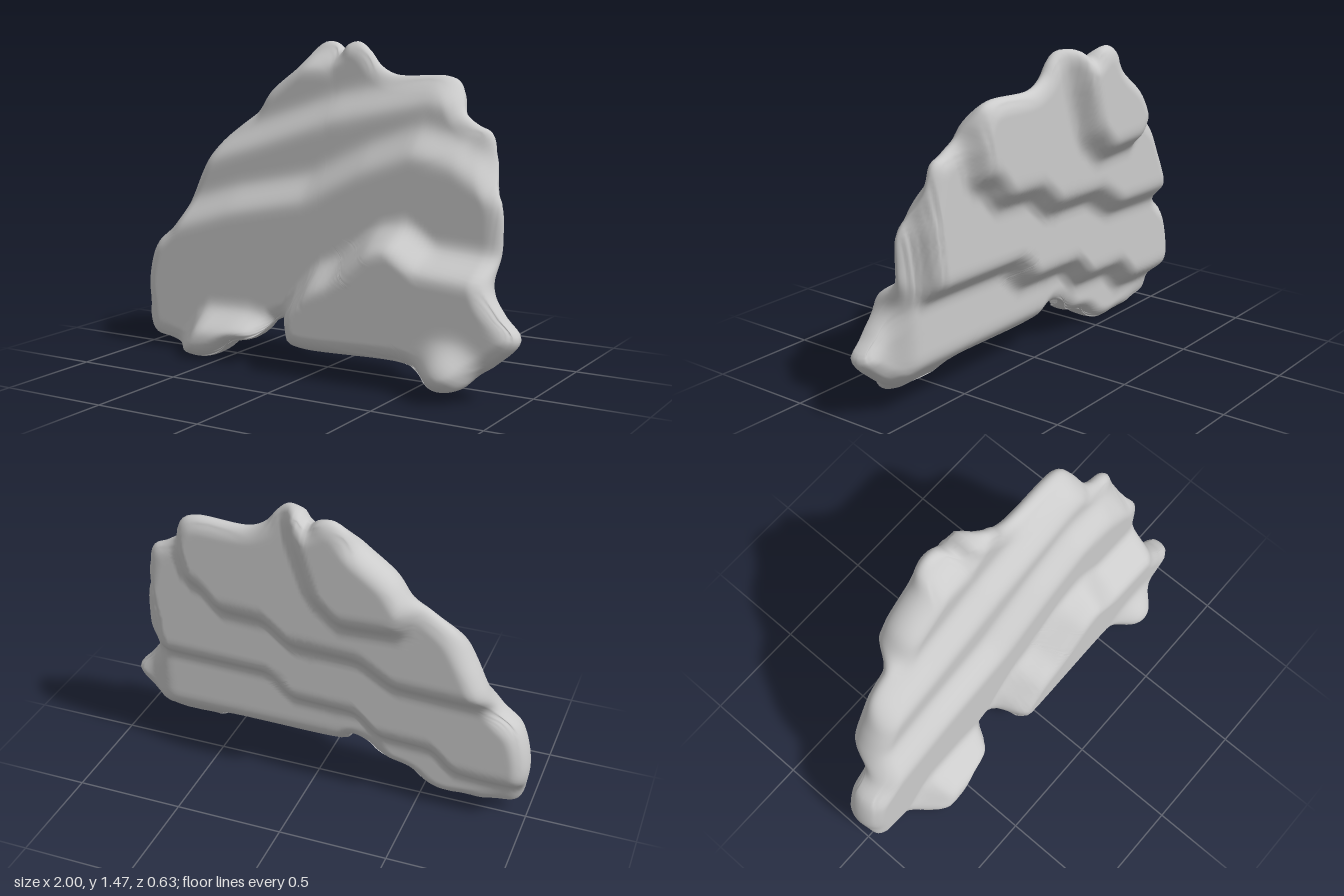
import * as THREE from 'three';

// Outline of the leaning slab, counter-clockwise from the right tip
const OUTLINE = [
  [1, 0.28], [0.93, 0.37], [0.86, 0.48], [0.865, 0.65], [0.86, 0.8], [0.82, 0.89], [0.79, 1.0], [0.76, 1.1],
  [0.7, 1.13], [0.63, 1.18], [0.6, 1.25], [0.56, 1.31], [0.5, 1.33], [0.25, 1.33], [0.17, 1.37],
  [0.12, 1.43], [0.07, 1.467], [0, 1.465], [-0.05, 1.425], [-0.1, 1.46], [-0.16, 1.468], [-0.21, 1.44],
  [-0.27, 1.36], [-0.42, 1.24], [-0.5, 1.13], [-0.67, 0.99], [-0.75, 0.85], [-0.8, 0.74], [-0.86, 0.59],
  [-0.95, 0.5], [-1, 0.32], [-0.99, 0.2], [-0.95, 0.07], [-0.85, 0.045], [-0.75, 0.02], [-0.6, 0.003], [-0.52, 0.025],
  [-0.43, 0.09], [-0.315, 0.125], [-0.245, 0.2], [-0.18, 0.22], [-0.14, 0.2], [-0.11, 0.14], [-0.04, 0.12],
  [0.5, 0.12], [0.57, 0.09], [0.615, 0.06], [0.7, 0.045], [0.78, 0.07], [0.83, 0.12], [0.9, 0.17],
];

// Terrace boundaries: height of each step along x
const FRONT_LOW = [[-0.2, 0.14], [-0.12, 0.3], [0, 0.43], [0.12, 0.48], [0.3, 0.63], [0.42, 0.66], [0.55, 0.57], [0.85, 0.55], [1, 0.5]];
const FRONT_LEFT = [[-0.8, -0.05], [-0.62, 0.18], [-0.4, 0.19], [-0.3, 0.17], [-0.2, 0.03]];
const FRONT_MID = [[-1, 0.53], [-0.8, 0.65], [-0.5, 0.74], [-0.1, 0.82], [0.2, 0.97], [0.45, 1.06], [0.65, 1.02], [0.85, 0.89]];
const FRONT_HIGH = [[-0.7, 0.96], [-0.4, 1.05], [0, 1.18], [0.3, 1.24], [0.5, 1.28], [0.65, 1.24], [0.8, 1.2]];
const BACK_LOW = [[-0.8, 0.19], [-0.66, 0.2], [-0.56, 0.3], [-0.3, 0.31], [-0.2, 0.41], [0.12, 0.42], [0.22, 0.53], [0.77, 0.54], [0.86, 1.3]];
const BACK_MID = [[-0.7, 0.65], [-0.4, 0.66], [-0.24, 0.76], [0.08, 0.77], [0.2, 0.87], [0.42, 0.88], [0.5, 0.98], [0.57, 1.0], [0.66, 1.4]];
const BACK_HIGH = [[-0.55, 1.2], [-0.44, 0.99], [-0.18, 0.98], [-0.06, 1.09], [0.02, 1.33], [0.06, 1.6]];

const smooth = THREE.MathUtils.smoothstep;

function along(line, x) {
  if (x <= line[0][0]) return line[0][1];
  for (let i = 1; i < line.length; i++) {
    const [x0, y0] = line[i - 1], [x1, y1] = line[i];
    if (x <= x1) return y0 + (y1 - y0) * (x - x0) / (x1 - x0);
  }
  return line[line.length - 1][1];
}

// 0 below the terrace boundary, 1 above it
const step = (line, x, y, w = 0.05) => {
  const h = along(line, x);
  return smooth(y, h - w, h + w);
};

function frontZ(x, y) {
  let z = 0.073;
  z += 0.152 * (1 - step(FRONT_LOW, x, y)) * smooth(x, -0.2, -0.12);
  z += 0.14 * (1 - step(FRONT_LEFT, x, y)) * (1 - smooth(x, -0.28, -0.18));
  z -= 0.1 * step(FRONT_MID, x, y, 0.07) + 0.1 * step(FRONT_HIGH, x, y, 0.07);
  // top left nub sits further back
  z -= 0.1 * smooth(y, 1.34, 1.44) * (1 - smooth(x, -0.09, -0.02));
  // foot bulge
  z += 0.095 * (1 - smooth(Math.hypot(x - 0.7, y - 0.1), 0.03, 0.17));
  return z;
}

function backZ(x, y) {
  let z = 0;
  z -= 0.115 * step(BACK_LOW, x, y);
  z -= 0.1 * step(BACK_MID, x, y);
  z -= 0.1 * step(BACK_HIGH, x, y);
  // right tip, foot and lower edge lie further forward
  const tip = smooth(x, 0.79, 0.89) * (1 - smooth(y, 0.46, 0.54));
  const foot = smooth(x, 0.52, 0.62) * (1 - smooth(y, 0.06, 0.18));
  const edge = smooth(x, -0.2, -0.1) * (1 - smooth(y, 0.12, 0.23));
  return z + Math.max(0.085 * tip, 0.17 * foot, 0.085 * edge);
}

// Average over a small disc, which melts the terraces into each other
function soft(height, x, y) {
  let sum = 2 * height(x, y);
  for (let i = 0; i < 8; i++) {
    const a = i * Math.PI / 4, r = i % 2 ? 0.03 : 0.05;
    sum += height(x + r * Math.cos(a), y + r * Math.sin(a));
  }
  return sum / 10;
}

// Front and back skins made of rings running from the centre to the outline
function slabGeometry() {
  const SEG = 280, RINGS = 56, ROUND = 0.075, CX = 0, CY = 0.65;
  const curve = new THREE.CatmullRomCurve3(
    OUTLINE.map(([x, y]) => new THREE.Vector3(x, y, 0)), true, 'centripetal');
  const rim = curve.getSpacedPoints(SEG).slice(0, SEG);
  const pos = [], idx = [];
  const sides = [1, -1].map((side) => {
    const start = pos.length / 3;
    for (let r = 0; r <= RINGS; r++) {
      const t = Math.sin((r / RINGS) * Math.PI / 2);
      for (const p of rim) {
        const x = CX + (p.x - CX) * t, y = CY + (p.y - CY) * t;
        let d = ROUND;
        for (const q of rim) d = Math.min(d, Math.hypot(q.x - x, q.y - y));
        const k = Math.sqrt(Math.max(0, 1 - (1 - d / ROUND) ** 2));
        const f = soft(frontZ, x, y), b = soft(backZ, x, y);
        pos.push(x, y, (f + b) / 2 + side * k * (f - b) / 2);
      }
    }
    return start;
  });
  sides.forEach((start, s) => {
    // both skins share the front skin's rim
    const at = (r, i) => (r === RINGS ? sides[0] : start) + r * SEG + (i % SEG);
    for (let r = 0; r < RINGS; r++) {
      for (let i = 0; i < SEG; i++) {
        const a = at(r, i), b = at(r + 1, i), c = at(r + 1, i + 1), d = at(r, i + 1);
        if (s === 0) idx.push(a, b, c, a, c, d);
        else idx.push(a, c, b, a, d, c);
      }
    }
  });
  const geo = new THREE.BufferGeometry();
  geo.setAttribute('position', new THREE.Float32BufferAttribute(pos, 3));
  geo.setIndex(idx);
  geo.computeVertexNormals();
  // the innermost ring is a single point: face it straight out
  const n = geo.attributes.normal;
  sides.forEach((start, s) => {
    for (let i = 0; i < SEG; i++) n.setXYZ(start + i, 0, 0, s ? -1 : 1);
  });
  return geo;
}

export function createModel() {
  const group = new THREE.Group();
  const slab = new THREE.Mesh(slabGeometry(), new THREE.MeshStandardMaterial({ color: 0xcccccc }));
  slab.name = 'terracedSlab';
  group.add(slab);
  return group;
}
